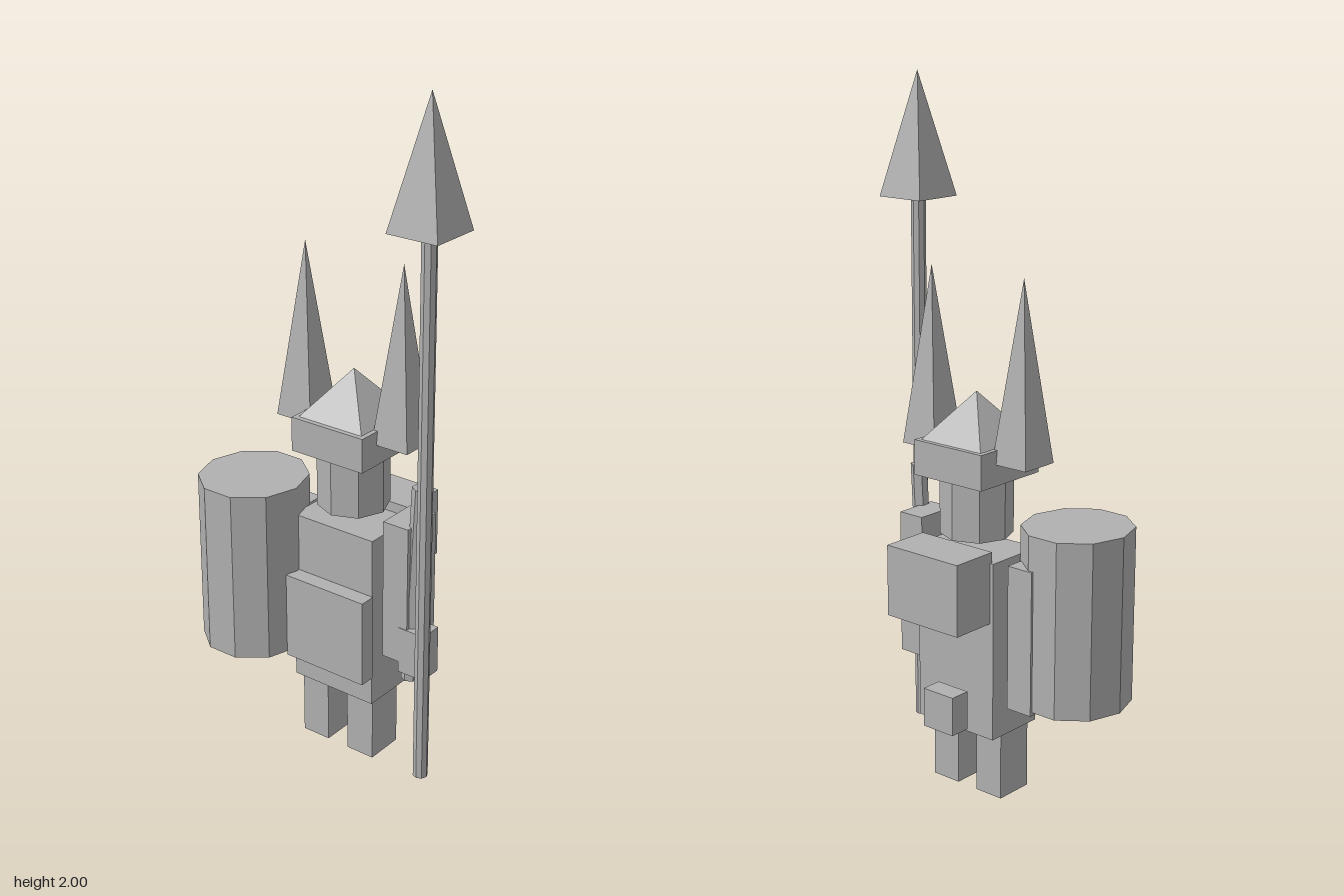
import * as THREE from 'three';

export function createModel() {
  const model = new THREE.Group();
  const grey = new THREE.MeshStandardMaterial({ color: 0xb0b0b0, flatShading: true });
  grey.name = 'plain grey';

  const add = (name, geometry, x, y, z) => {
    const mesh = new THREE.Mesh(geometry, grey);
    mesh.name = name;
    mesh.position.set(x, y, z);
    model.add(mesh);
    return mesh;
  };
  // Box given by its limits on each axis
  const box = (name, [x0, x1], [y0, y1], [z0, z1]) =>
    add(name, new THREE.BoxGeometry(x1 - x0, y1 - y0, z1 - z0),
      (x0 + x1) / 2, (y0 + y1) / 2, (z0 + z1) / 2);
  // Square pyramid standing on y0, sides parallel to the axes
  const pyramid = (name, half, x, y0, y1, z) =>
    add(name, new THREE.ConeGeometry(half * Math.SQRT2, y1 - y0, 4).rotateY(Math.PI / 4),
      x, (y0 + y1) / 2, z);
  const cylinder = (name, r, sides, x, y0, y1, z) =>
    add(name, new THREE.CylinderGeometry(r, r, y1 - y0, sides), x, (y0 + y1) / 2, z);

  // Body
  box('rightLeg', [-0.124, -0.034], [0, 0.2], [-0.035, 0.082]);
  box('leftLeg', [0.036, 0.127], [0, 0.2], [-0.035, 0.082]);
  box('torso', [-0.134, 0.141], [0.2, 0.72], [-0.082, 0.105]);
  box('frontPlate', [-0.124, 0.146], [0.29, 0.55], [0.108, 0.156]);
  box('rightArm', [-0.238, -0.155], [0.29, 0.71], [-0.045, 0.085]);
  box('leftArm', [0.163, 0.246], [0.36, 0.78], [-0.045, 0.085]);

  // Luggage on the back
  box('backpack', [-0.123, 0.133], [0.545, 0.75], [-0.217, -0.073]);
  box('pouch', [-0.16, -0.056], [0.29, 0.4], [-0.278, -0.218]);

  // Head and horned helmet
  cylinder('head', 0.103, 8, 0.003, 0.76, 0.93, 0.008);
  box('helmetBand', [-0.117, 0.125], [0.93, 1.03], [-0.113, 0.13]);
  pyramid('helmetTop', 0.107, 0.004, 1.03, 1.165, 0.008);
  for (const side of [-1, 1])
    pyramid(side < 0 ? 'rightHorn' : 'leftHorn', 0.059, 0.003 + side * 0.164, 0.99, 1.495, 0.008);

  // Ten-sided shield
  const shield = cylinder('shield', 1, 10, -0.2685, 0.3, 0.81, 0.1175);
  shield.geometry.rotateY(Math.PI / 2);
  shield.scale.set(0.1545, 1, 0.1635);

  // Leaning rod with its grip
  const rod = cylinder('rod', 0.024, 6, 0.248, 0.298, 0.9, 0.052);
  rod.rotation.z = -0.048;
  box('rodGrip', [0.219, 0.304], [0.33, 0.47], [0.017, 0.087]);

  // Spear
  cylinder('spearShaft', 0.021, 8, 0.342, 0.07, 1.65, 0.145);
  pyramid('spearHead', 0.077, 0.342, 1.65, 2, 0.145);

  return model;
}
